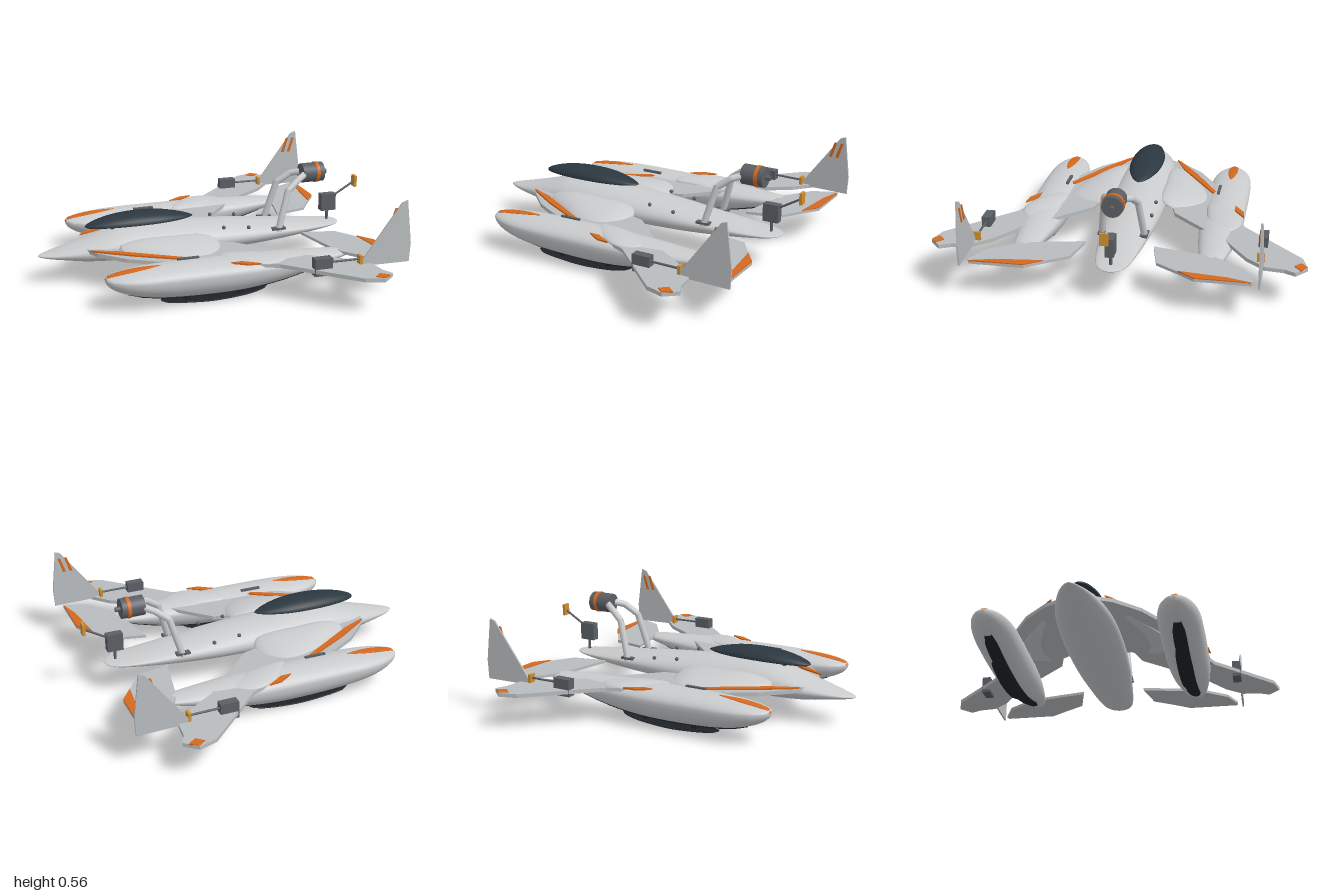
import * as THREE from 'three';

const mat = (name, color) => Object.assign(new THREE.MeshStandardMaterial({ color }), { name });

// Smoothly interpolate station rows [x, centreY, halfWidth, heightUp, heightDown, centreZ] at x
function sample(rows, x) {
  let i = 0;
  while (i < rows.length - 2 && x > rows[i + 1][0]) i++;
  const a = rows[i], b = rows[i + 1], p = rows[Math.max(i - 1, 0)], n = rows[Math.min(i + 2, rows.length - 1)];
  const d = b[0] - a[0], t = (x - a[0]) / d, t2 = t * t, t3 = t2 * t;
  return a.map((v, k) => {
    if (k === 0) return x;
    const m0 = (b[k] - p[k]) / (b[0] - p[0]) * d, m1 = (n[k] - v) / (n[0] - a[0]) * d;
    return (2 * t3 - 3 * t2 + 1) * v + (t3 - 2 * t2 + t) * m0 + (3 * t2 - 2 * t3) * b[k] + (t3 - t2) * m1;
  });
}

// Skin of elliptical sections along x; tilt lowers the side away from the centreline
function loft(rows, side = 1, tilt = 0, seg = 32, sub = 4) {
  const pos = [], idx = [], xs = [];
  for (let i = 0; i < rows.length - 1; i++)
    for (let k = 0; k < sub; k++) xs.push(rows[i][0] + (rows[i + 1][0] - rows[i][0]) * k / sub);
  xs.push(rows[rows.length - 1][0]);
  xs.forEach((x, i) => {
    const [, cy, hw, up, down, cz = 0] = sample(rows, x);
    for (let j = 0; j < seg; j++) {
      const a = j / seg * Math.PI * 2, c = Math.cos(a), z = Math.max(hw, 0) * Math.sin(a);
      pos.push(x, cy + Math.max(c > 0 ? up : down, 0) * c - tilt * z * side, cz * side + z);
      if (i < xs.length - 1) {
        const p = i * seg + j, q = i * seg + (j + 1) % seg;
        idx.push(p, q, p + seg, q, q + seg, p + seg);
      }
    }
  });
  const g = new THREE.BufferGeometry();
  g.setAttribute('position', new THREE.Float32BufferAttribute(pos, 3));
  g.setIndex(idx);
  g.computeVertexNormals();
  return g;
}

const outline = (pts) => new THREE.Shape(pts.map(([x, y]) => new THREE.Vector2(x, y)));

// Horizontal plate from an x,z outline
function plate(pts, top, thick, side) {
  const g = new THREE.ExtrudeGeometry(outline(pts.map(([x, z]) => [x, z * side])), { depth: thick, bevelEnabled: false });
  return g.rotateX(Math.PI / 2).translate(0, top, 0);
}

// Upright plate from an x,y outline
function upright(pts, z, thick) {
  return new THREE.ExtrudeGeometry(outline(pts), { depth: thick, bevelEnabled: false }).translate(0, 0, z - thick / 2);
}

function rod(a, b, r) {
  const A = new THREE.Vector3(...a), B = new THREE.Vector3(...b), d = B.clone().sub(A);
  const g = new THREE.CylinderGeometry(r, r, d.length(), 12);
  g.applyQuaternion(new THREE.Quaternion().setFromUnitVectors(new THREE.Vector3(0, 1, 0), d.normalize()));
  return g.translate(...A.add(B).multiplyScalar(0.5).toArray());
}

const box = (w, h, d, x, y, z) => new THREE.BoxGeometry(w, h, d).translate(x, y, z);
const drum = (r, len, x, y) => new THREE.CylinderGeometry(r, r, len, 32).rotateZ(Math.PI / 2).translate(x, y, 0);

export function createModel() {
  const model = new THREE.Group();
  const hull = mat('hullGrey', 0xc9cbcd), wingM = mat('wingGrey', 0xb9bcbe), orange = mat('trimOrange', 0xd5681d);
  const glass = mat('canopyDark', 0x2b3740), rubber = mat('skidBlack', 0x1e2226);
  const metal = mat('servoGrey', 0x5a5f65), gold = mat('hornGold', 0xd0902f);
  const add = (name, geo, m) => {
    const mesh = new THREE.Mesh(geo, m);
    mesh.name = name;
    model.add(mesh);
  };

  // Central hull and canopy
  add('fuselage', loft([
    [-0.96, 0.166, 0, 0, 0], [-0.94, 0.167, 0.025, 0.008, 0.009], [-0.88, 0.17, 0.06, 0.018, 0.023],
    [-0.8, 0.175, 0.09, 0.033, 0.04], [-0.7, 0.18, 0.118, 0.055, 0.06], [-0.6, 0.185, 0.138, 0.08, 0.072],
    [-0.5, 0.188, 0.152, 0.1, 0.077], [-0.35, 0.19, 0.162, 0.106, 0.08], [-0.1, 0.19, 0.164, 0.098, 0.08],
    [0.2, 0.19, 0.152, 0.074, 0.076], [0.4, 0.19, 0.133, 0.052, 0.066], [0.6, 0.19, 0.112, 0.029, 0.045],
    [0.75, 0.19, 0.087, 0.013, 0.022], [0.81, 0.19, 0.058, 0.008, 0.011], [0.835, 0.19, 0.025, 0.004, 0.005], [0.84, 0.19, 0, 0, 0]]), hull);
  add('canopy', loft([
    [-0.69, 0.308, 0, 0, 0], [-0.67, 0.308, 0.03, 0.014, 0.008], [-0.6, 0.31, 0.062, 0.036, 0.01],
    [-0.5, 0.314, 0.086, 0.05, 0.012], [-0.38, 0.317, 0.096, 0.053, 0.013], [-0.25, 0.317, 0.087, 0.046, 0.012],
    [-0.14, 0.316, 0.056, 0.026, 0.01], [-0.08, 0.315, 0.023, 0.009, 0.005], [-0.06, 0.315, 0, 0, 0]]), glass);
  for (const x of [-0.53, -0.19]) add('canopyPost', rod([x, 0.26, 0], [x, 0.315, 0], 0.012), metal);

  const pod = [
    [-0.7, 0.18, 0, 0, 0], [-0.69, 0.18, 0.032, 0.014, 0.025], [-0.66, 0.178, 0.062, 0.025, 0.05],
    [-0.6, 0.175, 0.092, 0.038, 0.075], [-0.5, 0.172, 0.113, 0.051, 0.1], [-0.35, 0.17, 0.12, 0.06, 0.118],
    [-0.1, 0.168, 0.121, 0.063, 0.125], [0.1, 0.168, 0.119, 0.061, 0.118], [0.3, 0.172, 0.106, 0.051, 0.093],
    [0.5, 0.18, 0.08, 0.034, 0.05], [0.62, 0.186, 0.056, 0.019, 0.026], [0.68, 0.188, 0.028, 0.009, 0.011], [0.7, 0.189, 0, 0, 0],
  ].map((r) => [...r, 0.5]);
  // Strip that hugs the top (dir 1) or bottom (dir -1) of a pod
  const strip = (x0, x1, width, up, down, dir) => Array.from({ length: 17 }, (_, i) => {
    const t = i / 16, r = sample(pod, x0 + (x1 - x0) * t);
    return [r[0], r[1] + (dir > 0 ? r[3] : -r[4]), width(t), up, down, 0.5];
  });

  for (const s of [1, -1]) {
    // Side pods with nose flash, keel and landing skid
    add('pod', loft(pod, s), hull);
    add('podNoseFlash', loft(strip(-0.7, -0.4, (t) => 0.028 * Math.sin(Math.PI * (0.12 + 0.88 * t)) ** 0.8, 0.004, 0.006, 1), s, 0, 16, 1), orange);
    add('podKeel', loft(strip(-0.58, 0.56, (t) => 0.036 * Math.min(1, 0.55 + 6 * t, 0.55 + 6 * (1 - t)), 0.03, 0.006, -1), s, 0, 16, 1), rubber);
    add('landingSkid', loft([
      [-0.4, 0.032, 0.012, 0.003, 0.003, 0.5], [-0.36, 0.025, 0.034, 0.006, 0.007, 0.5], [-0.2, 0.013, 0.042, 0.006, 0.01, 0.5],
      [-0.08, 0.01, 0.042, 0.006, 0.01, 0.5], [0.08, 0.022, 0.04, 0.006, 0.01, 0.5], [0.17, 0.038, 0.032, 0.005, 0.006, 0.5],
      [0.2, 0.047, 0.01, 0.002, 0.002, 0.5]], s), rubber);
    for (const x of [-0.25, 0.05]) add('skidStrut', box(0.03, 0.04, 0.03, x, 0.035, 0.5 * s), rubber);

    // Swept wing with blended fairings
    add('wing', plate([[-0.7, 0.1], [-0.66, 0.18], [-0.53, 0.31], [-0.38, 0.4], [-0.05, 0.52], [0.22, 0.64],
      [0.56, 0.97], [0.66, 1], [0.73, 0.94], [0.7, 0.88], [0.69, 0.78], [0.6, 0.68], [0.42, 0.56],
      [0.1, 0.235], [-0.03, 0.2], [-0.03, 0.1]], 0.211, 0.021, s), wingM);
    add('innerFairing', loft([
      [-0.54, 0.205, 0, 0, 0, 0.17], [-0.52, 0.205, 0.045, 0.025, 0.01, 0.175], [-0.4, 0.21, 0.09, 0.045, 0.014, 0.205],
      [-0.25, 0.21, 0.128, 0.045, 0.014, 0.255], [-0.1, 0.21, 0.145, 0.036, 0.014, 0.275], [-0.02, 0.207, 0.115, 0.024, 0.012, 0.255],
      [0.015, 0.205, 0.06, 0.012, 0.008, 0.235], [0.03, 0.203, 0, 0, 0, 0.22]], s, 0.2), hull);
    add('outerFairing', loft([
      [-0.06, 0.212, 0, 0, 0, 0.44], [-0.04, 0.212, 0.035, 0.015, 0.008, 0.445], [0.04, 0.211, 0.075, 0.026, 0.01, 0.485],
      [0.14, 0.21, 0.095, 0.026, 0.01, 0.52], [0.23, 0.208, 0.075, 0.018, 0.008, 0.535], [0.3, 0.206, 0.035, 0.01, 0.005, 0.525],
      [0.325, 0.205, 0, 0, 0, 0.515]], s), hull);
    add('wingRootStripe', plate([[-0.69, 0.14], [-0.55, 0.2], [-0.2, 0.42], [-0.23, 0.43], [-0.48, 0.29], [-0.66, 0.17]], 0.22, 0.009, s), orange);
    add('wingEdgeStripe', plate([[-0.03, 0.565], [0.05, 0.618], [0.12, 0.625], [0.03, 0.565]], 0.225, 0.009, s), orange);
    add('wingTipMark', plate([[0.62, 0.966], [0.66, 0.996], [0.704, 0.965], [0.66, 0.93]], 0.215, 0.008, s), orange);
    add('vent', box(0.12, 0.012, 0.016, -0.23, 0.23, 0.45 * s), metal);

    // Tailplane and fin
    add('tailplane', plate([[0.535, 0.185], [0.725, 0.228], [0.805, 0.35], [0.87, 0.44], [0.87, 0.73],
      [0.85, 0.74], [0.725, 0.685], [0.605, 0.52]], 0.205, 0.016, s), wingM);
    add('tailplaneStripe', plate([[0.805, 0.35], [0.87, 0.44], [0.87, 0.73], [0.833, 0.6]], 0.21, 0.007, s), orange);
    add('fin', upright([[0.625, 0.2], [0.63, 0.225], [0.855, 0.53], [0.885, 0.54], [0.916, 0.3], [0.91, 0.195]], 0.77 * s, 0.01), wingM);
    for (const [x, y] of [[0.79, 0.41], [0.83, 0.41]])
      add('finStripe', upright([[x, y], [x + 0.018, y], [x + 0.045, y + 0.09], [x + 0.03, y + 0.09]], 0.764 * s, 0.005), orange);

    // Wing servo, pushrod and horn
    add('wingServo', box(0.1, 0.095, 0.048, 0.412, 0.22, 0.757 * s), metal);
    add('wingPushrod', rod([0.46, 0.238, 0.757 * s], [0.63, 0.236, 0.757 * s], 0.006), metal);
    add('wingHorn', box(0.016, 0.065, 0.04, 0.628, 0.225, 0.757 * s), gold);

    // Engine mast leg, foot and hull studs
    const path = new THREE.CurvePath();
    const pts = [[0.42, 0.2, 0.118], [0.485, 0.43, 0.092], [0.56, 0.485, 0.07], [0.61, 0.5, 0.035]]
      .map(([x, y, z]) => new THREE.Vector3(x, y, z * s));
    for (let i = 0; i < 3; i++) path.add(new THREE.LineCurve3(pts[i], pts[i + 1]));
    add('mastLeg', new THREE.TubeGeometry(path, 30, 0.019, 12, false), hull);
    add('mastFoot', box(0.08, 0.012, 0.04, 0.42, 0.218, 0.115 * s), metal);
    for (const x of [0.085, 0.235])
      add('hullStud', new THREE.SphereGeometry(0.011, 12, 8).translate(x, 0.262 - 0.1 * (x - 0.085), 0.125 * s), metal);
  }

  // Engine on its mast
  add('engine', drum(0.056, 0.13, 0.667, 0.5), metal);
  add('engineBand', drum(0.06, 0.02, 0.692, 0.5), orange);
  add('engineShaft', drum(0.013, 0.03, 0.745, 0.5), metal);

  // Centre servo, pushrod and horn
  add('tailServo', box(0.09, 0.1, 0.046, 0.775, 0.31, 0), metal);
  add('servoPost', rod([0.775, 0.19, 0], [0.775, 0.27, 0], 0.008), metal);
  add('tailPushrod', rod([0.8, 0.335, 0], [0.945, 0.42, 0], 0.006), metal);
  add('tailHorn', box(0.016, 0.066, 0.044, 0.945, 0.422, 0), gold);

  return model;
}
